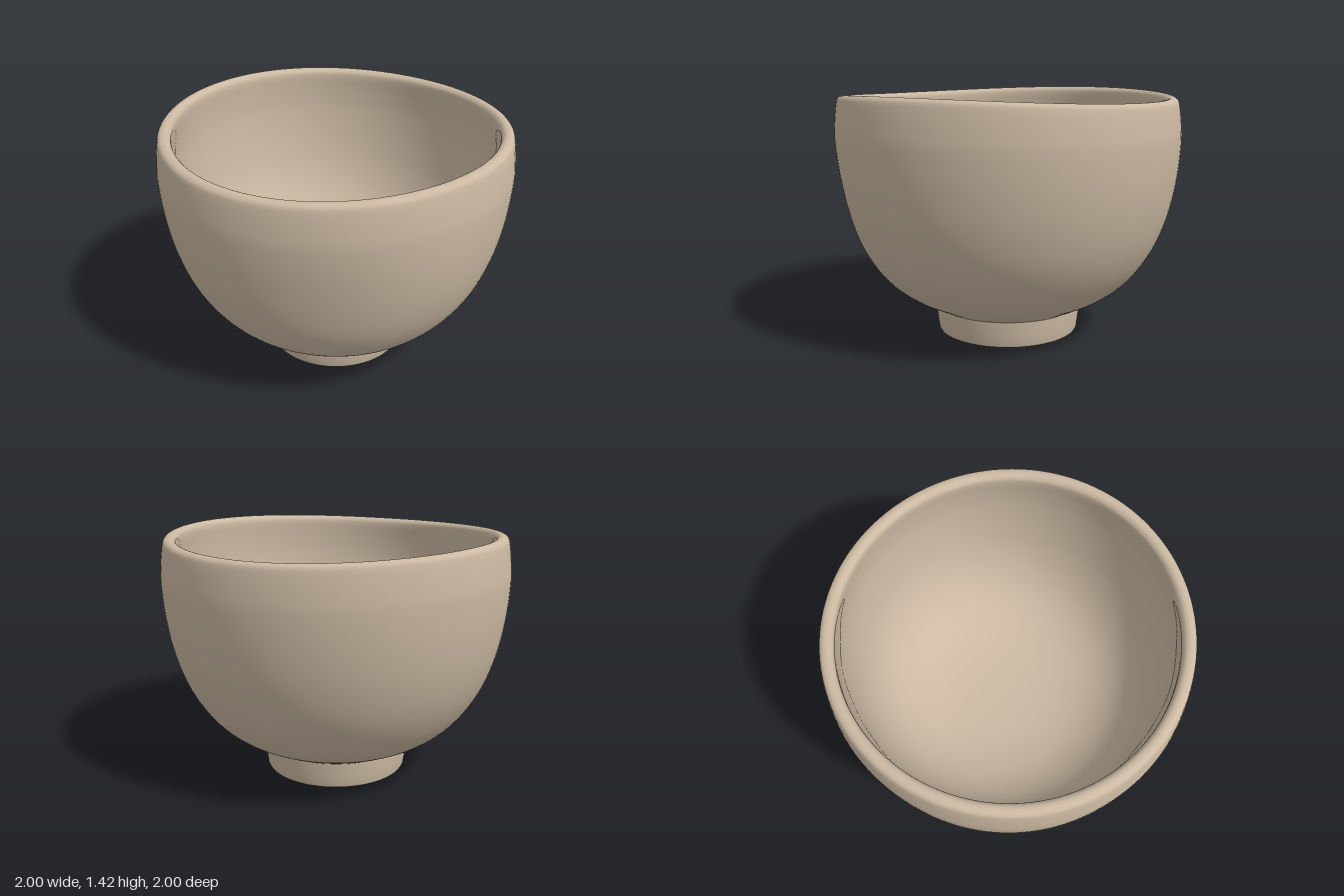
import * as THREE from 'three';
import { mergeVertices } from 'three/addons/utils/BufferGeometryUtils.js';

const clay = new THREE.MeshStandardMaterial({ color: 0xcbb9a2 });
const toPoints = (list) => list.map(([x, y]) => new THREE.Vector2(x, y));

// Hand-thrown irregularity: a gently waving lip and a soft thumb dent
function handShape(x, y, z) {
  const a = Math.atan2(z, x);
  const lift = 0.017 * Math.cos(2 * (a + 0.22)) * Math.pow(Math.max(y - 0.16, 0) / 1.24, 3);
  const da = (a - 0.75) / 0.42;
  const dy = (y - 0.8) / 0.3;
  const squeeze = 1 - 0.02 * Math.exp(-da * da - dy * dy);
  return [x * squeeze, y + lift, z * squeeze];
}

// Revolve a profile, optionally reshape it, and weld the seam for smooth normals
function thrown(name, points, shape) {
  let geometry = new THREE.LatheGeometry(points, 128);
  geometry.deleteAttribute('uv');
  geometry.deleteAttribute('normal');
  const p = geometry.attributes.position;
  if (shape) {
    for (let i = 0; i < p.count; i++) p.setXYZ(i, ...shape(p.getX(i), p.getY(i), p.getZ(i)));
  }
  geometry = mergeVertices(geometry, 1e-5);
  geometry.computeVertexNormals();
  const mesh = new THREE.Mesh(geometry, clay);
  mesh.name = name;
  return mesh;
}

export function createModel() {
  const bowl = new THREE.Group();
  bowl.name = 'teaBowl';

  // Bowl wall: up the outside, over the rounded lip, down the inside to the centre
  const wall = new THREE.SplineCurve(toPoints([
    [0.43, 0.155], [0.52, 0.2], [0.62, 0.255], [0.72, 0.335], [0.81, 0.445], [0.89, 0.59],
    [0.95, 0.77], [0.985, 0.96], [1.0, 1.15], [0.995, 1.26], [0.982, 1.36],
    [0.968, 1.393], [0.94, 1.403], [0.915, 1.393], [0.903, 1.36],
    [0.91, 1.25], [0.91, 1.12], [0.89, 0.93], [0.85, 0.74], [0.78, 0.57],
    [0.68, 0.435], [0.54, 0.335], [0.37, 0.275], [0.18, 0.25], [0, 0.245],
  ]));
  bowl.add(thrown('bowlWall', wall.getPoints(150), handShape));

  // Foot ring, in pieces so its edges stay crisp
  const foot = new THREE.Group();
  foot.name = 'foot';
  foot.add(
    thrown('footOutside', toPoints([
      [0.405, 0], [0.414, 0.004], [0.42, 0.016], [0.426, 0.06], [0.432, 0.11], [0.435, 0.157],
    ])),
    thrown('footTop', toPoints([[0.435, 0.157], [0.42, 0.158]])),
    thrown('footUnderside', toPoints([[0.35, 0], [0.405, 0]])),
    thrown('footInside', toPoints([[0.325, 0.09], [0.334, 0.05], [0.344, 0.012], [0.35, 0]])),
    thrown('footRecess', toPoints([[0, 0.09], [0.325, 0.09]])),
  );
  bowl.add(foot);
  return bowl;
}
